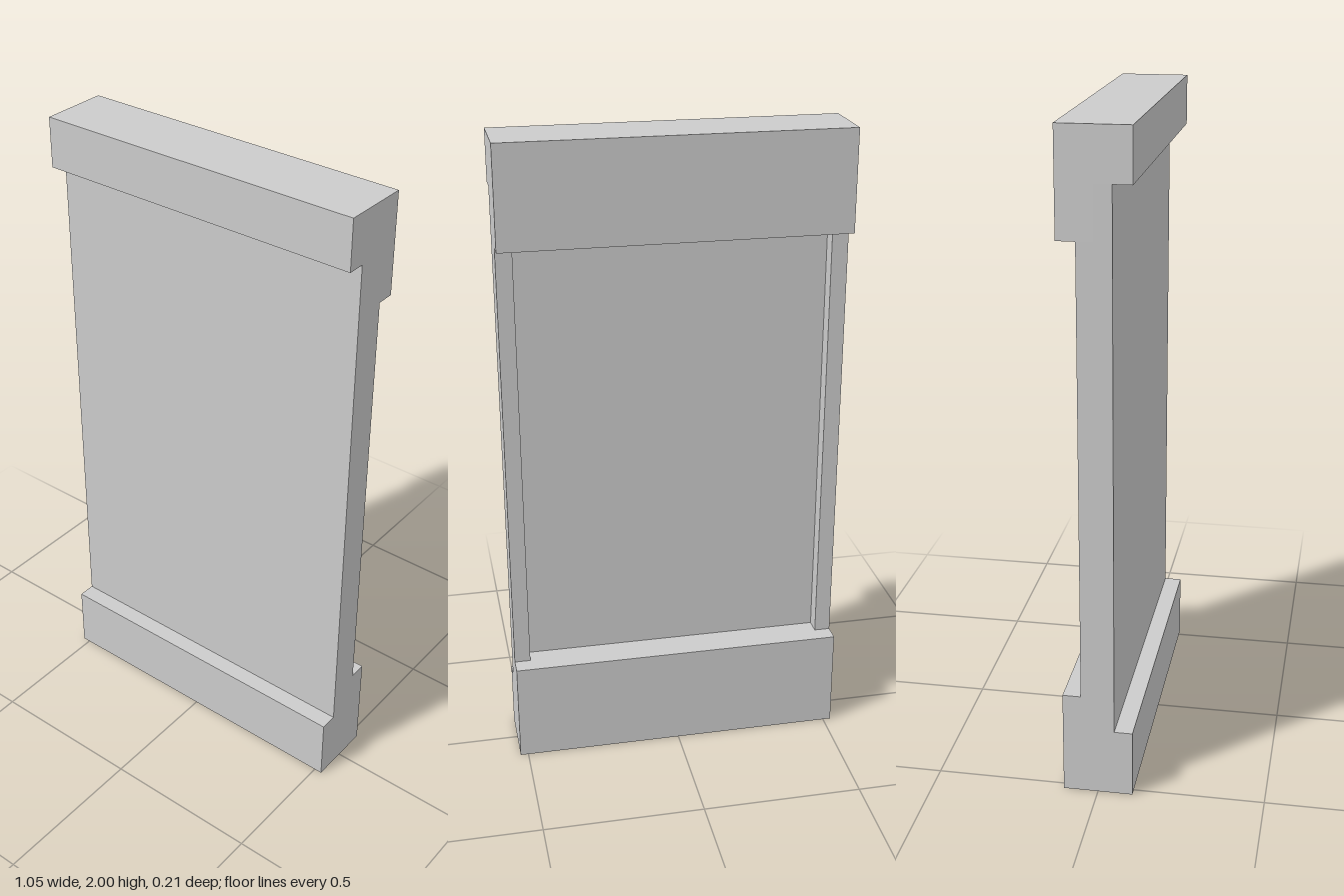
import * as THREE from 'three';

const WIDTH = 1.05, HEIGHT = 2, DEPTH = 0.21;
const HALF = DEPTH / 2;
const PANEL_FRONT = 0.05, PANEL_BACK = 0, STILE_BACK = -0.05;
const STILE_WIDTH = 0.05;

export function createModel() {
  const group = new THREE.Group();
  const material = new THREE.MeshStandardMaterial({ color: 0xcccccc, flatShading: true });

  function add(name, geometry) {
    const mesh = new THREE.Mesh(geometry, material);
    mesh.name = name;
    group.add(mesh);
    return mesh;
  }

  // Box given by its limits on each axis
  function block(name, x0, x1, y0, y1, z0, z1) {
    const mesh = add(name, new THREE.BoxGeometry(x1 - x0, y1 - y0, z1 - z0));
    mesh.position.set((x0 + x1) / 2, (y0 + y1) / 2, (z0 + z1) / 2);
  }

  // Stepped rail: the inner edge is at frontY before the panel and backY behind it
  function rail(name, outerY, frontY, backY) {
    const profile = new THREE.Shape([
      [-HALF, outerY], [HALF, outerY], [HALF, frontY],
      [-PANEL_BACK, frontY], [-PANEL_BACK, backY], [-HALF, backY],
    ].map(([z, y]) => new THREE.Vector2(-z, y)));
    const geometry = new THREE.ExtrudeGeometry(profile, { depth: WIDTH, bevelEnabled: false });
    // Profile x becomes -z, extrusion runs along x
    geometry.rotateY(Math.PI / 2);
    geometry.translate(-WIDTH / 2, 0, 0);
    add(name, geometry);
  }

  // Top and bottom rails
  rail('topRail', HEIGHT, 1.845, 1.69);
  rail('bottomRail', 0, 0.21, 0.32);

  // Flat panel, flush with the frame sides at the front
  block('panel', -WIDTH / 2, WIDTH / 2, 0.21, 1.845, PANEL_BACK, PANEL_FRONT);

  // Side stiles framing the recess at the back
  const inner = WIDTH / 2 - STILE_WIDTH;
  block('leftStile', inner, WIDTH / 2, 0.32, 1.69, STILE_BACK, PANEL_BACK);
  block('rightStile', -WIDTH / 2, -inner, 0.32, 1.69, STILE_BACK, PANEL_BACK);

  return group;
}
